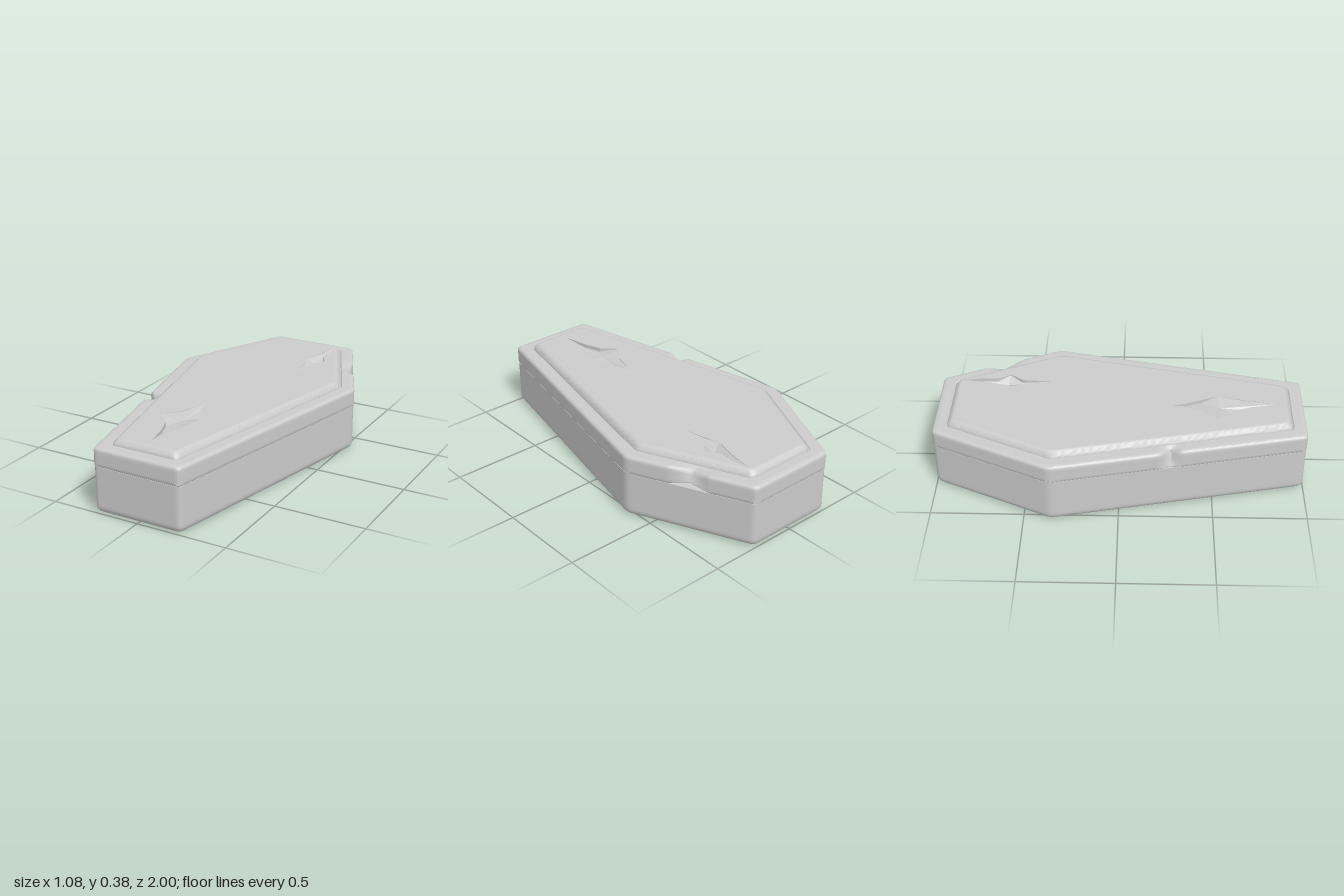
import * as THREE from 'three';
import { toCreasedNormals } from 'three/addons/utils/BufferGeometryUtils.js';

const grey = new THREE.MeshStandardMaterial({ color: 0xcccccc, side: THREE.DoubleSide });

// six-sided plan, counter-clockwise, as (x, -z)
const PLAN = [[0.25, -1], [0.545, 0.36], [0.25, 1], [-0.25, 1], [-0.545, 0.36], [-0.25, -1]]
  .map(([x, q]) => new THREE.Vector2(x, q));

// plan moved inward by inset, with softened corners and finely divided sides
function outline(inset, radius = 0.025, steps = 60) {
  const n = PLAN.length;
  const normal = i => {
    const d = PLAN[(i + 1) % n].clone().sub(PLAN[i]).normalize();
    return new THREE.Vector2(-d.y, d.x);
  };
  const corners = PLAN.map((p, i) => {
    const a = normal((i + n - 1) % n), b = normal(i);
    return p.clone().addScaledVector(a.clone().add(b), inset / (1 + a.dot(b)));
  });
  const points = [];
  corners.forEach((c, i) => {
    const prev = corners[(i + n - 1) % n], next = corners[(i + 1) % n];
    const toward = (from, to) => from.clone().addScaledVector(to.clone().sub(from).normalize(), radius);
    const start = toward(c, next), end = toward(next, c);
    points.push(...new THREE.QuadraticBezierCurve(toward(c, prev), c, start).getPoints(5));
    for (let k = 1; k < steps; k++) points.push(start.clone().lerp(end, k / steps));
  });
  return points;
}

// skin over rings given as [inset, y]; warp may move each vertex
function loft(rings, warp = () => {}) {
  const pos = [], index = [];
  let n = 0;
  for (const [inset, y] of rings) {
    const pts = outline(inset);
    n = pts.length;
    for (const p of pts) {
      const v = new THREE.Vector3(p.x, y, -p.y);
      warp(v, inset);
      pos.push(v.x, v.y, v.z);
    }
  }
  for (let r = 0; r < rings.length - 1; r++) {
    for (let i = 0; i < n; i++) {
      const j = (i + 1) % n, a = r * n + i, b = r * n + j;
      index.push(a, b, b + n, a, b + n, a + n);
    }
  }
  const g = new THREE.BufferGeometry();
  g.setAttribute('position', new THREE.Float32BufferAttribute(pos, 3));
  g.setIndex(index);
  return toCreasedNormals(g, 0.65);
}

// quarter-round edge rows: from the side wall to the top
const roundTop = (inset, y, r) => [0, 1, 2, 3, 4].map(k => {
  const t = k * Math.PI / 8;
  return [inset + r * (1 - Math.cos(t)), y - r + r * Math.sin(t)];
});

// chipped places on the lid rim
const CHIPS = [
  { side: -1, z: 0.27, width: 0.055, push: 0.05, sink: 0.035, lift: 0 },
  { side: 1, z: -0.67, width: 0.1, push: 0.035, sink: 0.02, lift: 0.03 },
];
function chip(v, inset) {
  for (const c of CHIPS) {
    const t = 1 - Math.abs(v.z - c.z) / c.width;
    if (t <= 0 || v.x * c.side < 0 || inset > 0.07) continue;
    const fade = 1 - inset / 0.075, high = THREE.MathUtils.clamp((v.y - 0.26) / 0.09, 0, 1);
    v.x -= c.side * c.push * t * fade * (0.3 + 0.7 * high);
    v.y += t * fade * (c.lift * (1 - high) - c.sink * high);
  }
}

// cracks in the panel: corners as [x, z, drop], and the floor's centre
const TOP = 0.385;
const CRACKS = [
  {
    name: 'lowerCrack', centre: [-0.03, 0.54, 0.014],
    rim: [[-0.03, 0.28, 0], [-0.075, 0.44, 0.004], [-0.15, 0.53, 0], [-0.07, 0.61, 0.022],
      [-0.035, 0.71, 0.022], [-0.005, 0.85, 0], [0.03, 0.66, 0.004], [0.06, 0.53, 0],
      [0.025, 0.44, 0.022], [-0.012, 0.35, 0.018]],
  },
  {
    name: 'upperCrack', centre: [0.185, -0.63, 0.035],
    rim: [[0.18, -0.88, 0], [0.165, -0.74, 0.004], [0.13, -0.61, 0], [0.155, -0.53, 0.004],
      [0.178, -0.38, 0], [0.19, -0.55, 0.02], [0.24, -0.62, 0.004], [0.2, -0.69, 0.02],
      [0.2, -0.79, 0.02]],
  },
];

function crackGeometry({ rim, centre }) {
  const pos = [];
  const at = ([x, z, drop], top) => [x, top ? TOP : TOP - drop, z];
  rim.forEach((p, i) => {
    const q = rim[(i + 1) % rim.length];
    pos.push(...at(p), ...at(q), ...at(centre));
    pos.push(...at(p, true), ...at(q, true), ...at(q), ...at(p, true), ...at(q), ...at(p));
  });
  const g = new THREE.BufferGeometry();
  g.setAttribute('position', new THREE.Float32BufferAttribute(pos, 3));
  g.computeVertexNormals();
  return g;
}

export function createModel() {
  const group = new THREE.Group();
  const add = (name, geometry) => {
    const mesh = new THREE.Mesh(geometry, grey);
    mesh.name = name;
    group.add(mesh);
  };

  // box body with a rounded bottom edge
  const bottom = roundTop(0.002, 0, 0.035).map(([i, y]) => [i, -y]).reverse();
  add('body', loft([[0.06, 0], ...bottom, [0.002, 0.05], [0.002, 0.24], [0.002, 0.256], [0.09, 0.256]]));

  // flat underside
  const base = new THREE.ShapeGeometry(
    new THREE.Shape(outline(0.06).map(p => new THREE.Vector2(p.x, -p.y))));
  add('underside', base.rotateX(Math.PI / 2));

  // lid rim
  add('lidRim', loft([[0.06, 0.257], [0.003, 0.257], [0, 0.261], [0, 0.275], [0, 0.3], [0, 0.325],
    ...roundTop(0, 0.356, 0.018), [0.03, 0.356], [0.05, 0.356], [0.068, 0.356], [0.074, 0.35],
    [0.077, 0.35]], chip));

  // raised panel: bevelled edge and cracked top
  add('panelEdge', loft([[0.077, 0.35], [0.079, 0.36], [0.083, 0.367], [0.097, 0.381],
    [0.103, 0.384], [0.11, TOP]]));
  const top = new THREE.Shape(outline(0.11));
  for (const c of CRACKS) {
    top.holes.push(new THREE.Path(c.rim.map(([x, z]) => new THREE.Vector2(x, -z))));
    add(c.name, crackGeometry(c));
  }
  add('panelTop', new THREE.ShapeGeometry(top).rotateX(-Math.PI / 2).translate(0, TOP, 0));

  return group;
}
